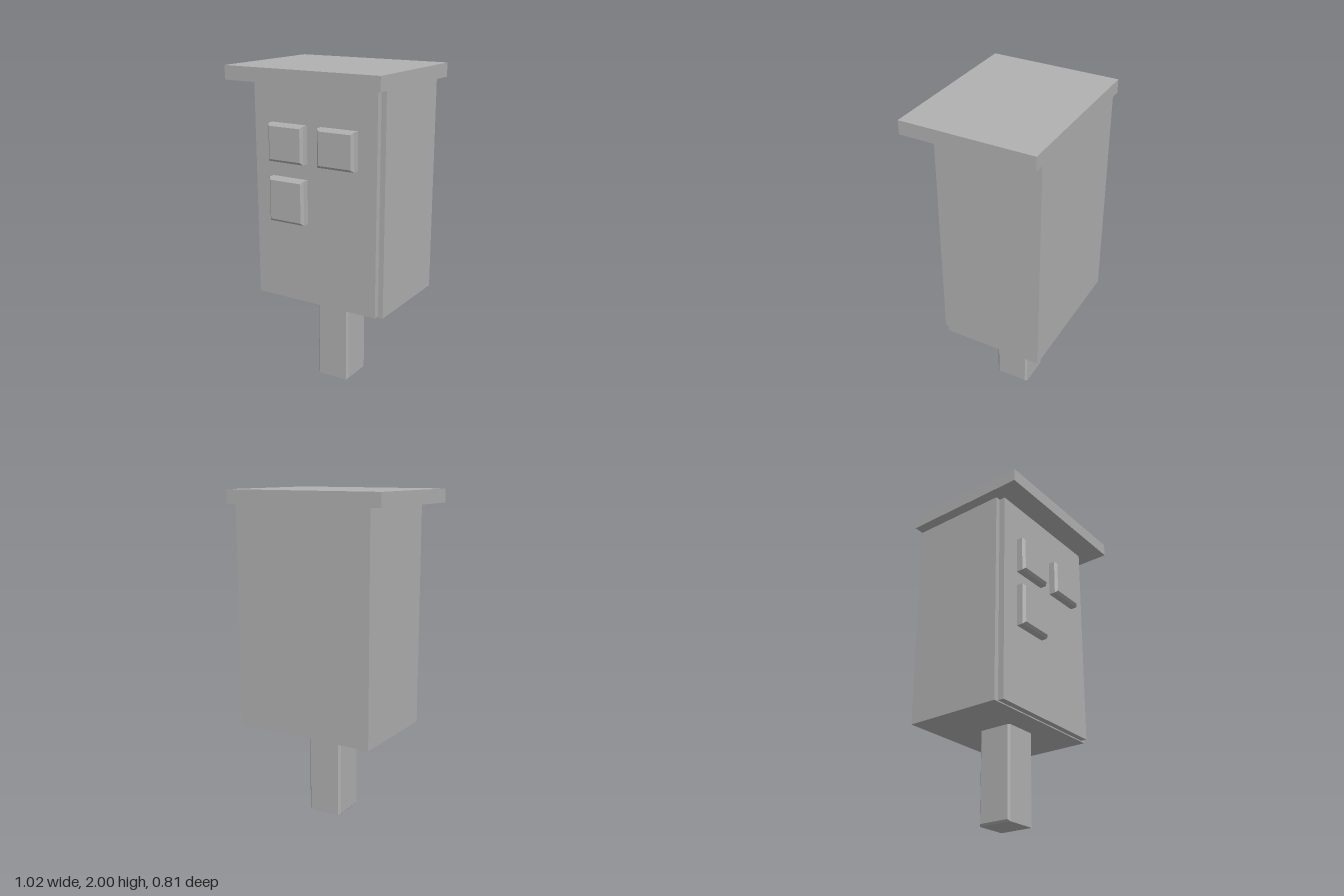
import * as THREE from 'three';

const grey = new THREE.MeshStandardMaterial({ color: 0xb0b0b0 });
grey.name = 'grey';

// Box given by its minimum and maximum corners
function block(name, [x0, y0, z0], [x1, y1, z1]) {
  const geometry = new THREE.BoxGeometry(x1 - x0, y1 - y0, z1 - z0);
  geometry.translate((x0 + x1) / 2, (y0 + y1) / 2, (z0 + z1) / 2);
  const mesh = new THREE.Mesh(geometry, grey);
  mesh.name = name;
  return mesh;
}

// Rectangular slab centred on the origin, with chamfered rims on both z ends
function chamferedSlab(width, height, depth, bevel) {
  const w = width / 2, h = height / 2;
  const shape = new THREE.Shape([
    new THREE.Vector2(-w, -h), new THREE.Vector2(w, -h),
    new THREE.Vector2(w, h), new THREE.Vector2(-w, h),
  ]);
  const geometry = new THREE.ExtrudeGeometry(shape, {
    depth: depth - 2 * bevel, bevelEnabled: true, bevelSegments: 1,
    bevelThickness: bevel, bevelSize: bevel, bevelOffset: -bevel,
  });
  return geometry.translate(0, 0, bevel - depth / 2);
}

export function createModel() {
  const model = new THREE.Group();
  model.name = 'postMountedCabinet';

  // Cabinet, front door and overhanging roof (flush at the back)
  model.add(
    block('cabinet', [-0.447, 0.573, -0.405], [0.447, 1.917, 0.217]),
    block('door', [-0.415, 0.58, 0.217], [0.415, 1.917, 0.255]),
    block('roof', [-0.512, 1.917, -0.405], [0.512, 2, 0.405]),
  );

  // Post, chamfered around its left and right faces
  const postGeometry = chamferedSlab(0.22, 0.6, 0.224, 0.012);
  postGeometry.rotateY(Math.PI / 2).translate(0, 0.3, -0.05);
  const post = new THREE.Mesh(postGeometry, grey);
  post.name = 'post';
  model.add(post);

  // Raised panels on the door: centre x, bottom, top
  const panels = [
    ['upperRightPanel', -0.17, 1.445, 1.672],
    ['upperLeftPanel', 0.17, 1.445, 1.672],
    ['lowerRightPanel', -0.17, 1.08, 1.35],
  ];
  for (const [name, x, bottom, top] of panels) {
    const panel = new THREE.Mesh(chamferedSlab(0.244, top - bottom, 0.072, 0.015), grey);
    panel.name = name;
    panel.position.set(x, (bottom + top) / 2, 0.275);
    model.add(panel);
  }

  return model;
}
